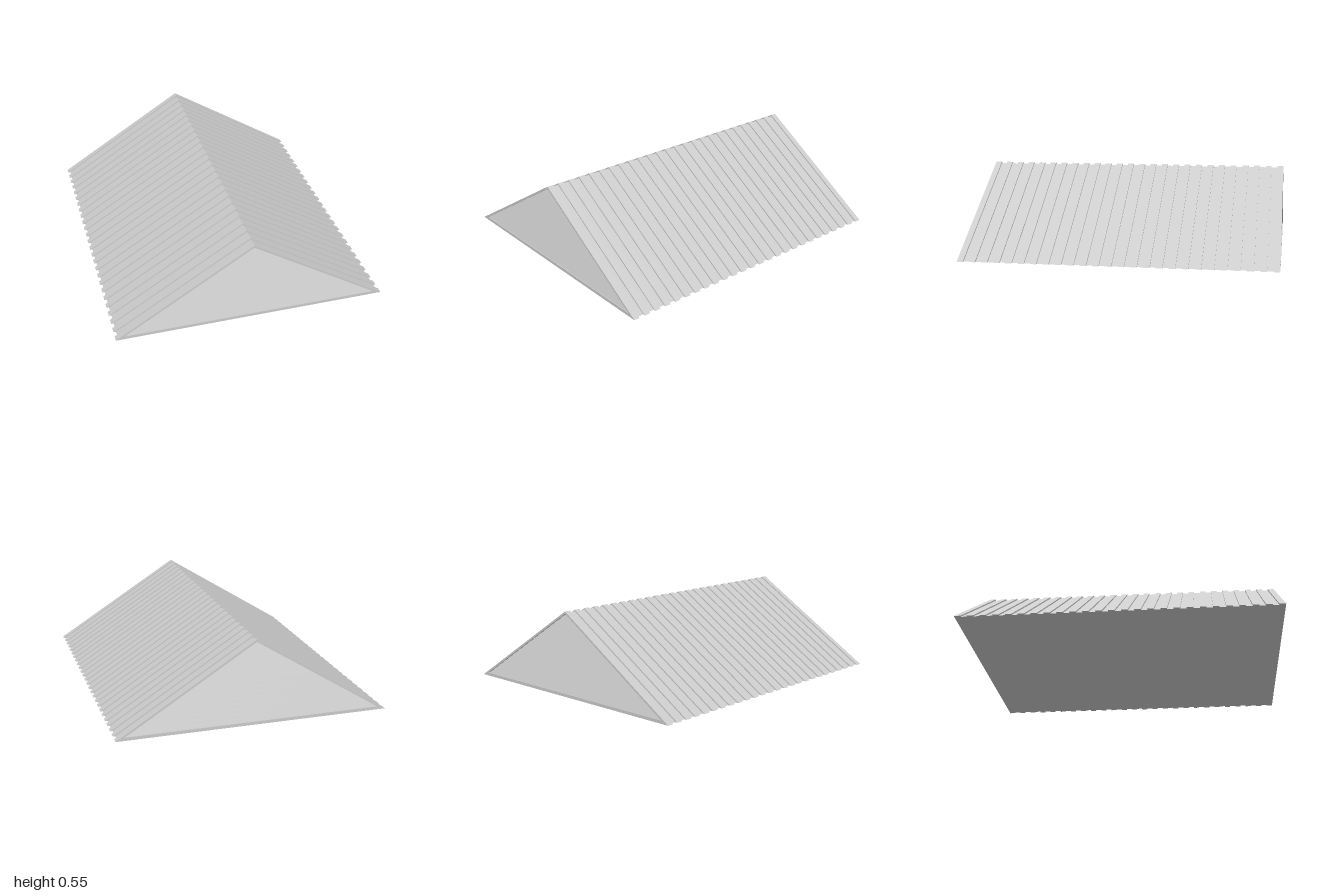
import * as THREE from 'three';

const HALF_W = 0.865, HEIGHT = 0.545;   // outer gable triangle
const STRIPS = 51, STRIP = 2 / STRIPS;  // alternating ribs and troughs
const DEPTH_Y = 0.01;                   // rib height, measured vertically
const SIDING_Y0 = 0.02, SIDING_Y1 = 0.53, SIDING_W = 0.81, BOARDS = 15;

const material = new THREE.MeshStandardMaterial({ color: 0xcccccc, flatShading: true });

function polygon(points, Type = THREE.Shape) {
  return new Type(points.map(([x, y]) => new THREE.Vector2(x, y)));
}

function slab(name, shape, zMin, zMax) {
  const geo = new THREE.ExtrudeGeometry(shape, { depth: zMax - zMin, bevelEnabled: false });
  geo.translate(0, 0, zMin);
  const mesh = new THREE.Mesh(geo, material);
  mesh.name = name;
  return mesh;
}

// One lapped board: a box tapered to the gable slope, its lower edge standing out
function sidingBoard(y0, y1) {
  const geo = new THREE.BoxGeometry(1, 1, 1).toNonIndexed();
  const p = geo.attributes.position;
  for (let i = 0; i < p.count; i++) {
    const low = p.getY(i) < 0;
    const y = low ? y0 : y1;
    const halfW = SIDING_W * (SIDING_Y1 - y) / (SIDING_Y1 - SIDING_Y0);
    const z = p.getZ(i) < 0 ? 0.965 : (low ? 0.995 : 0.982);
    p.setXYZ(i, Math.sign(p.getX(i)) * halfW, y, z);
  }
  geo.computeVertexNormals();
  const mesh = new THREE.Mesh(geo, material);
  mesh.name = 'sidingBoard';
  return mesh;
}

export function createModel() {
  const model = new THREE.Group();
  model.name = 'gableRoof';

  // Solid core at trough level
  const coreH = HEIGHT - DEPTH_Y;
  const coreW = HALF_W * coreH / HEIGHT;
  const core = polygon([[-coreW, 0], [coreW, 0], [0, coreH]]);
  model.add(slab('roofCore', core, -0.97, 0.97));

  // Raised ribs running over the ridge from eave to eave
  const ribs = new THREE.Group();
  ribs.name = 'roofRibs';
  const chevron = polygon([
    [-HALF_W, 0], [-coreW, 0], [0, coreH], [coreW, 0], [HALF_W, 0], [0, HEIGHT],
  ]);
  for (let i = 2; i < STRIPS - 1; i += 2) {
    ribs.add(slab('roofRib', chevron, -1 + i * STRIP, -1 + (i + 1) * STRIP));
  }
  model.add(ribs);

  // Gable ends: a triangular frame filled with lapped siding
  const frame = polygon([[-HALF_W, 0], [HALF_W, 0], [0, HEIGHT]]);
  frame.holes.push(polygon(
    [[-SIDING_W, SIDING_Y0], [0, SIDING_Y1], [SIDING_W, SIDING_Y0]], THREE.Path));
  for (const [name, turn] of [['frontGable', 0], ['backGable', Math.PI]]) {
    const gable = new THREE.Group();
    gable.name = name;
    gable.add(slab('gableFrame', frame, 1 - STRIP, 1));
    const step = (SIDING_Y1 - SIDING_Y0) / BOARDS;
    for (let i = 0; i < BOARDS; i++) {
      gable.add(sidingBoard(SIDING_Y0 + i * step, SIDING_Y0 + (i + 1) * step));
    }
    gable.rotation.y = turn;
    model.add(gable);
  }
  return model;
}
